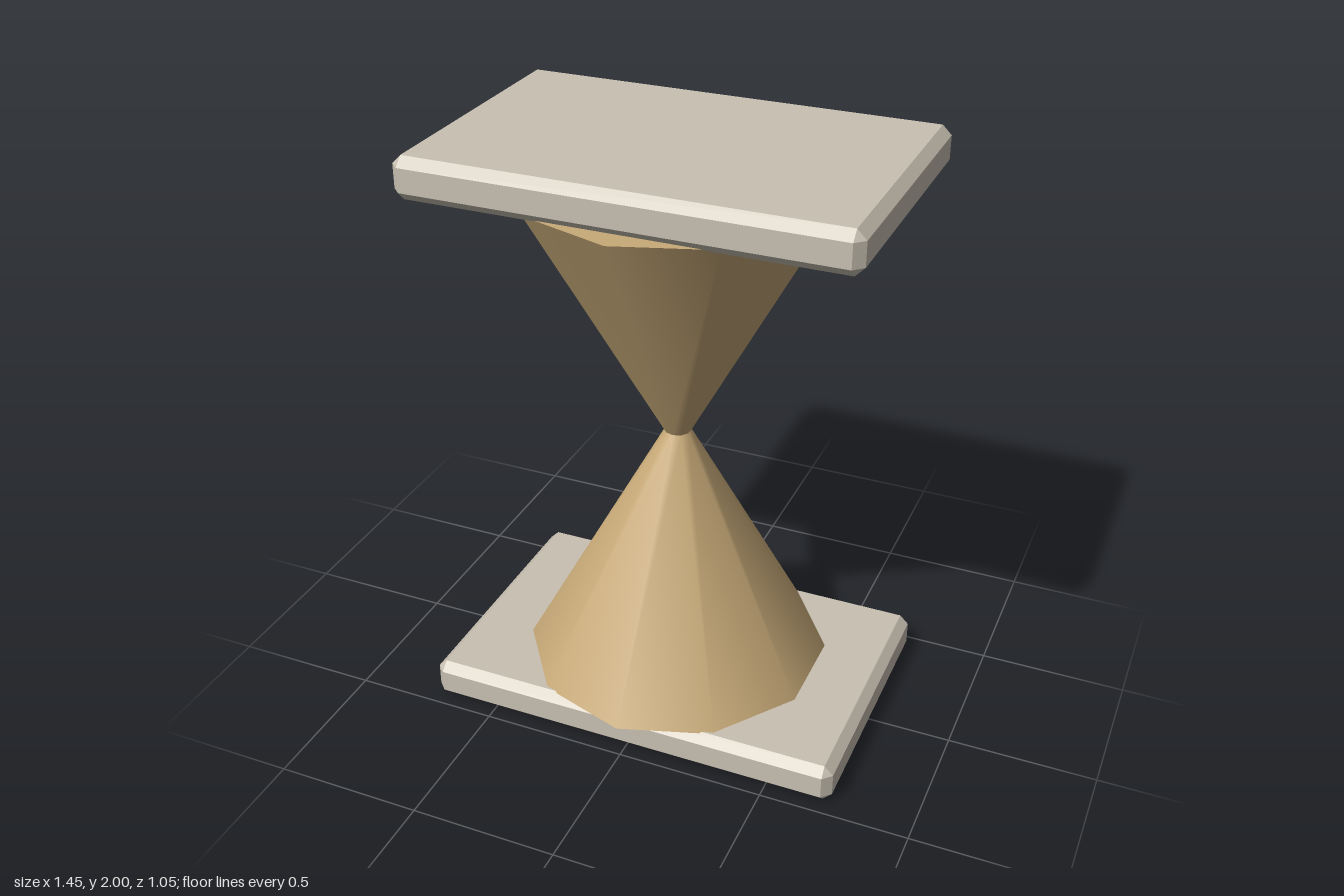
import * as THREE from 'three';
import { ConvexGeometry } from 'three/addons/geometries/ConvexGeometry.js';

// Box with every edge and corner chamfered by c
function chamferedBox(width, height, depth, c) {
  const half = [width / 2, height / 2, depth / 2];
  const points = [];
  for (const sx of [-1, 1]) for (const sy of [-1, 1]) for (const sz of [-1, 1]) {
    for (let axis = 0; axis < 3; axis++) {
      const p = half.map((h, i) => (i === axis ? h : h - c));
      points.push(new THREE.Vector3(sx * p[0], sy * p[1], sz * p[2]));
    }
  }
  return new ConvexGeometry(points);
}

export function createModel() {
  const model = new THREE.Group();
  model.name = 'hourglassTable';

  const stone = new THREE.MeshStandardMaterial({ color: 0xc8c0b2 });
  stone.name = 'pale stone';
  const sand = new THREE.MeshStandardMaterial({ color: 0xc8aa78 });
  sand.name = 'sand';

  const add = (name, geometry, material, y) => {
    const mesh = new THREE.Mesh(geometry, material);
    mesh.name = name;
    mesh.position.y = y;
    model.add(mesh);
  };

  // Base and top slabs
  const slabHeight = 0.138;
  const slab = chamferedBox(1.45, slabHeight, 0.93, 0.03);
  add('baseSlab', slab, stone, slabHeight / 2);
  add('topSlab', slab, stone, 2 - slabHeight / 2);

  // Two ten-sided cones meeting at the narrow waist
  const wide = 0.525, waist = 0.045, coneHeight = 0.867;
  add('lowerCone', new THREE.CylinderGeometry(waist, wide, coneHeight, 10), sand, 1 - coneHeight / 2);
  add('upperCone', new THREE.CylinderGeometry(wide, waist, coneHeight, 10), sand, 1 + coneHeight / 2);

  return model;
}
